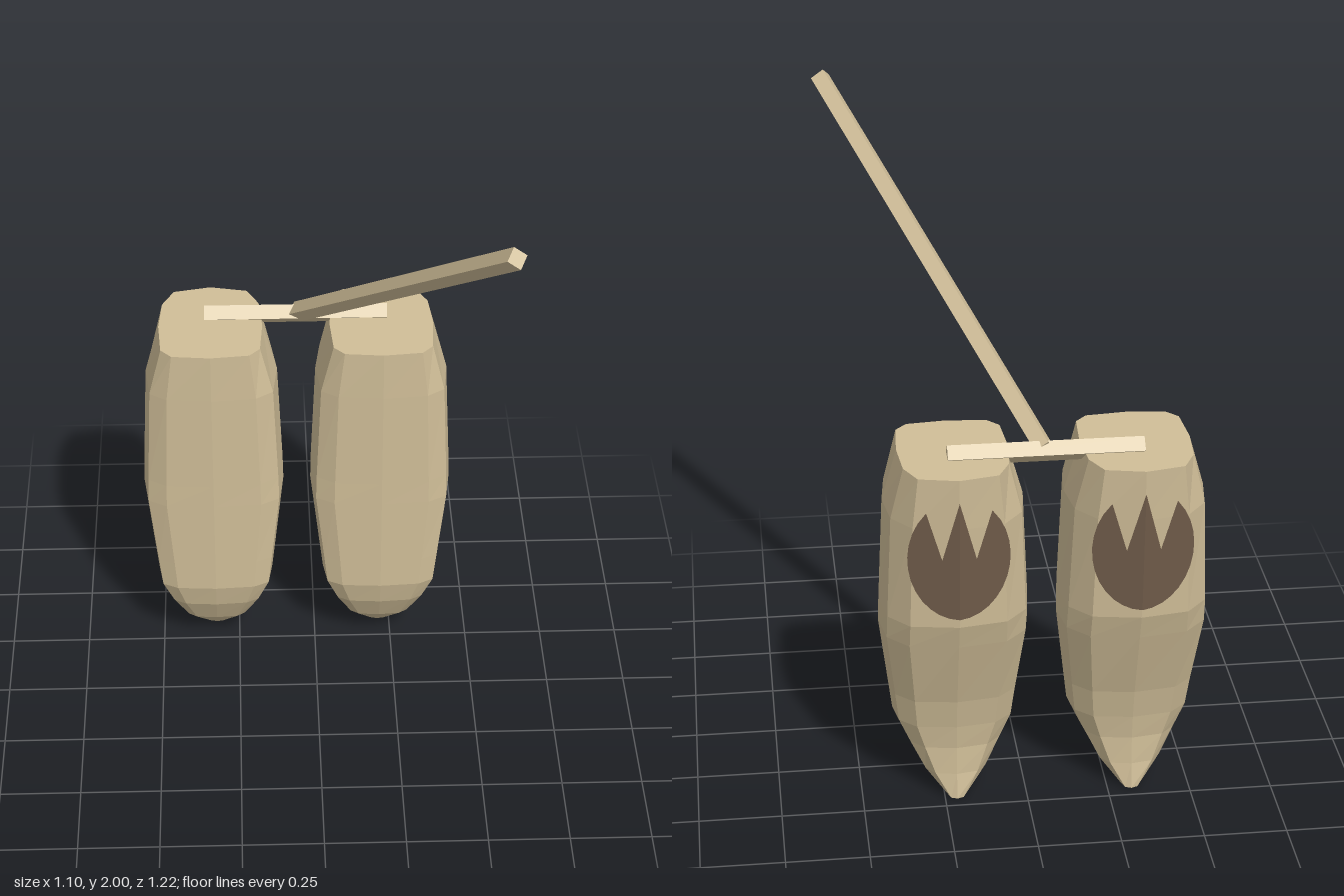
import * as THREE from 'three';

const tan = new THREE.MeshStandardMaterial({ color: 0xd0be98, flatShading: true });
const brown = new THREE.MeshStandardMaterial({ color: 0x705c4a, side: THREE.DoubleSide });

// Pod levels: height, half width, front z, back z
const LEVELS = [
  [0, 0.03, -0.336, -0.463], [0.08, 0.1, -0.257, -0.45], [0.17, 0.148, -0.212, -0.447],
  [0.25, 0.185, -0.193, -0.458], [0.35, 0.197, -0.193, -0.48], [0.58, 0.225, -0.193, -0.555],
  [0.66, 0.223, -0.193, -0.58], [0.99, 0.208, -0.193, -0.6], [1.15, 0.163, -0.195, -0.608],
];
// Half outline of a pod: share of half width, share of depth from front to back
const OUTLINE = [[0, 0], [0.67, 0.03], [0.93, 0.12], [1, 0.45], [0.92, 0.76], [0.64, 0.94], [0, 1]];
const RING = [...OUTLINE, ...OUTLINE.slice(1, -1).reverse().map(([a, t]) => [-a, t])];

function podGeometry() {
  const pos = [], idx = [], n = RING.length;
  LEVELS.forEach(([y, w, zf, zb], level) => {
    const square = level === LEVELS.length - 1 ? 0.75 : 1; // squarer top rim
    for (const [a, t] of RING) {
      const wide = Math.sign(a) * Math.pow(Math.abs(a), square);
      pos.push(wide * w, y, zf + (zb - zf) * t);
    }
  });
  for (let j = 0; j < LEVELS.length - 1; j++) {
    for (let i = 0; i < n; i++) {
      const a = j * n + i, b = j * n + (i + 1) % n;
      idx.push(a, b, b + n, a, b + n, a + n);
    }
  }
  // end caps
  const top = (LEVELS.length - 1) * n;
  for (let i = 1; i < n - 1; i++) {
    idx.push(0, i + 1, i, top, top + i, top + i + 1);
  }
  const g = new THREE.BufferGeometry();
  g.setAttribute('position', new THREE.Float32BufferAttribute(pos, 3));
  g.setIndex(idx);
  g.computeVertexNormals();
  return g;
}

// Half of the oval patch with a notch at the top, laid onto the back of a pod
function patchGeometry(side) {
  const pts = [[0, 0.19], [0.05, 0.0], [0.095, 0.155]];
  for (let i = 0; i <= 12; i++) {
    const t = 0.85 - (i / 12) * (0.85 + Math.PI / 2);
    pts.push([0.15 * Math.cos(t), 0.2 * Math.sin(t)]);
  }
  const shape = new THREE.Shape(pts.map(([x, y]) => new THREE.Vector2(x * side, y + 0.89)));
  const g = new THREE.ShapeGeometry(shape);
  const p = g.attributes.position;
  for (let i = 0; i < p.count; i++) {
    const back = 0.58 + (p.getY(i) - 0.66) * 0.06;
    p.setZ(i, -back - 0.007 + 0.17 * Math.abs(p.getX(i)));
  }
  g.computeVertexNormals();
  return g;
}

export function createModel() {
  const model = new THREE.Group();

  // twin pods with a notched patch on the back
  const podShape = podGeometry();
  for (const [name, x] of [['rightPod', -0.324], ['leftPod', 0.213]]) {
    const pod = new THREE.Group();
    pod.name = name;
    pod.position.x = x;
    const shell = new THREE.Mesh(podShape, tan);
    shell.name = 'podShell';
    pod.add(shell);
    for (const side of [-1, 1]) {
      const patch = new THREE.Mesh(patchGeometry(side), brown);
      patch.name = 'backPatch';
      pod.add(patch);
    }
    model.add(pod);
  }

  // square bars set on edge
  function bar(name, from, to) {
    const a = new THREE.Vector3(...from), b = new THREE.Vector3(...to);
    const mesh = new THREE.Mesh(new THREE.BoxGeometry(0.046, 0.046, a.distanceTo(b)), tan);
    mesh.name = name;
    mesh.position.copy(a).add(b).multiplyScalar(0.5);
    mesh.lookAt(b);
    mesh.rotateZ(Math.PI / 4);
    model.add(mesh);
  }
  bar('crossBar', [-0.343, 1.153, -0.443], [0.233, 1.153, -0.443]);
  bar('handleRod', [-0.05, 1.16, -0.44], [0.522, 1.974, 0.588]);

  return model;
}
